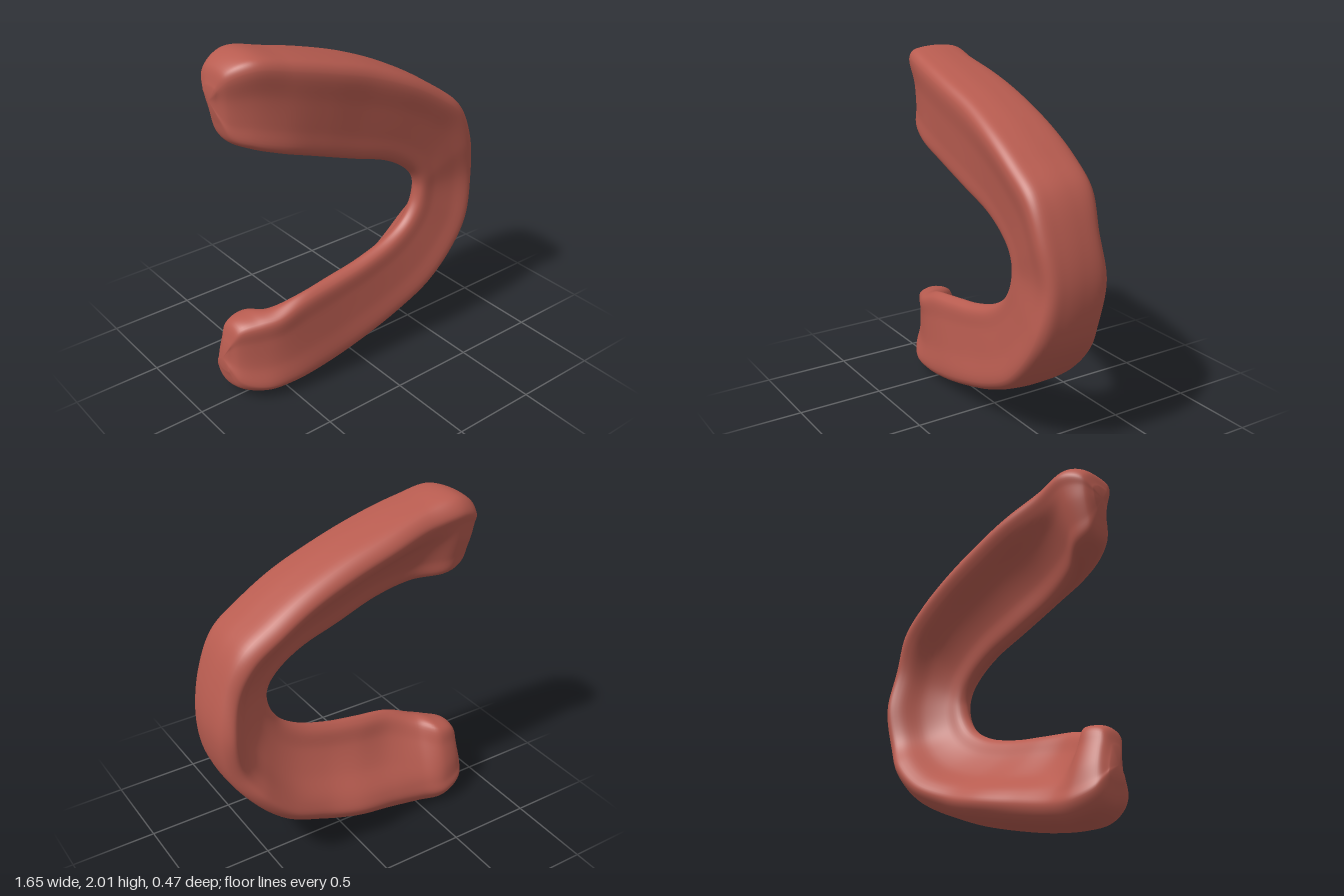
import * as THREE from 'three';

// Stations along the horseshoe: outer x, outer y, inner x, inner y, front z, rear rim z
const stations = [
  [-0.80, 1.84, -0.785, 1.68, 0.01, -0.10],
  [-0.765, 1.94, -0.745, 1.56, 0.08, -0.16],
  [-0.65, 2.00, -0.65, 1.505, 0.155, -0.195],
  [-0.45, 1.965, -0.50, 1.455, 0.19, -0.18],
  [-0.20, 1.90, -0.30, 1.39, 0.21, -0.20],
  [0.05, 1.82, -0.05, 1.30, 0.215, -0.20],
  [0.30, 1.71, 0.18, 1.22, 0.23, -0.20],
  [0.50, 1.59, 0.31, 1.14, 0.235, -0.20],
  [0.67, 1.46, 0.375, 1.07, 0.235, -0.185],
  [0.77, 1.25, 0.397, 1.02, 0.225, -0.16],
  [0.82, 0.98, 0.40, 0.975, 0.20, -0.185],
  [0.77, 0.70, 0.38, 0.89, 0.225, -0.175],
  [0.66, 0.52, 0.32, 0.80, 0.23, -0.22],
  [0.48, 0.34, 0.20, 0.72, 0.225, -0.235],
  [0.25, 0.22, 0.00, 0.655, 0.215, -0.215],
  [0.00, 0.135, -0.20, 0.62, 0.21, -0.22],
  [-0.25, 0.07, -0.42, 0.585, 0.20, -0.19],
  [-0.48, 0.02, -0.57, 0.53, 0.185, -0.18],
  [-0.65, 0.00, -0.66, 0.51, 0.155, -0.195],
  [-0.78, 0.06, -0.765, 0.47, 0.08, -0.16],
  [-0.82, 0.18, -0.805, 0.36, 0.01, -0.10],
];

// Cross-section: deep outer wall, flat front and a thin inner lip near the front;
// the back is hollow along the arch and fills out into pads at the tips
function section([ox, oy, ix, iy, f, r]) {
  const mix = THREE.MathUtils.lerp;
  const pad = THREE.MathUtils.smoothstep(-ox, 0.3, 0.72);
  const low = oy < 1 ? pad : 0;
  const fi = mix(0.17, f * 0.72, pad);
  const bi = mix(0.08, r * 0.5, pad);
  return [
    [0, mix(0, -0.06, pad)], [0.01 + 0.05 * low, f * 0.5],
    [0.045 + 0.08 * low, f * 0.86], [0.13 + 0.06 * low, f],
    [0.42, mix(f, fi, 0.4) - 0.015 * pad], [0.72, mix(f, fi, 0.75) - 0.01 * pad],
    [0.94, fi], [1, (fi + bi) / 2], [0.94, bi], [0.74, mix(r, bi, mix(0.86, 0.65, pad))],
    [0.5, mix(r, bi, mix(0.55, 0.3, pad))], [0.31, mix(r, bi, 0.13)], [0.17, r], [0.04, r * 0.75],
  ].map(([u, z]) => new THREE.Vector3(mix(ox, ix, u), mix(oy, iy, u), z));
}

// Smooth loft through closed cross-sections, with rounded fans closing the ends
function loft(sections, along, around) {
  const rails = sections[0].map((_, j) =>
    new THREE.CatmullRomCurve3(sections.map((s) => s[j]), false, 'centripetal'));
  const pos = [], index = [];
  for (let i = 0; i <= along; i++) {
    const ring = new THREE.CatmullRomCurve3(
      rails.map((c) => c.getPoint(i / along)), true, 'centripetal');
    for (let j = 0; j < around; j++) pos.push(...ring.getPoint(j / around).toArray());
  }
  for (let i = 0; i < along; i++) {
    for (let j = 0; j < around; j++) {
      const k = (j + 1) % around;
      const a = i * around + j, b = i * around + k;
      index.push(a, b, a + around, b, b + around, a + around);
    }
  }
  for (const end of [0, along]) {
    const base = end * around, centre = new THREE.Vector3();
    for (let j = 0; j < around; j++) {
      centre.add(new THREE.Vector3().fromArray(pos, (base + j) * 3));
    }
    centre.divideScalar(around);
    centre.x -= 0.012;
    const c = pos.length / 3;
    pos.push(centre.x, centre.y, centre.z);
    for (let j = 0; j < around; j++) {
      const a = base + j, b = base + (j + 1) % around;
      if (end === 0) index.push(c, b, a);
      else index.push(c, a, b);
    }
  }
  const geometry = new THREE.BufferGeometry();
  geometry.setAttribute('position', new THREE.Float32BufferAttribute(pos, 3));
  geometry.setIndex(index);
  geometry.computeVertexNormals();
  return geometry;
}

export function createModel() {
  const group = new THREE.Group();
  group.name = 'horseshoeBase';
  const material = new THREE.MeshStandardMaterial({ color: 0xb85c50 });
  material.name = 'gum red';
  const arch = new THREE.Mesh(loft(stations.map(section), 160, 84), material);
  arch.name = 'archBody';
  group.add(arch);
  return group;
}
